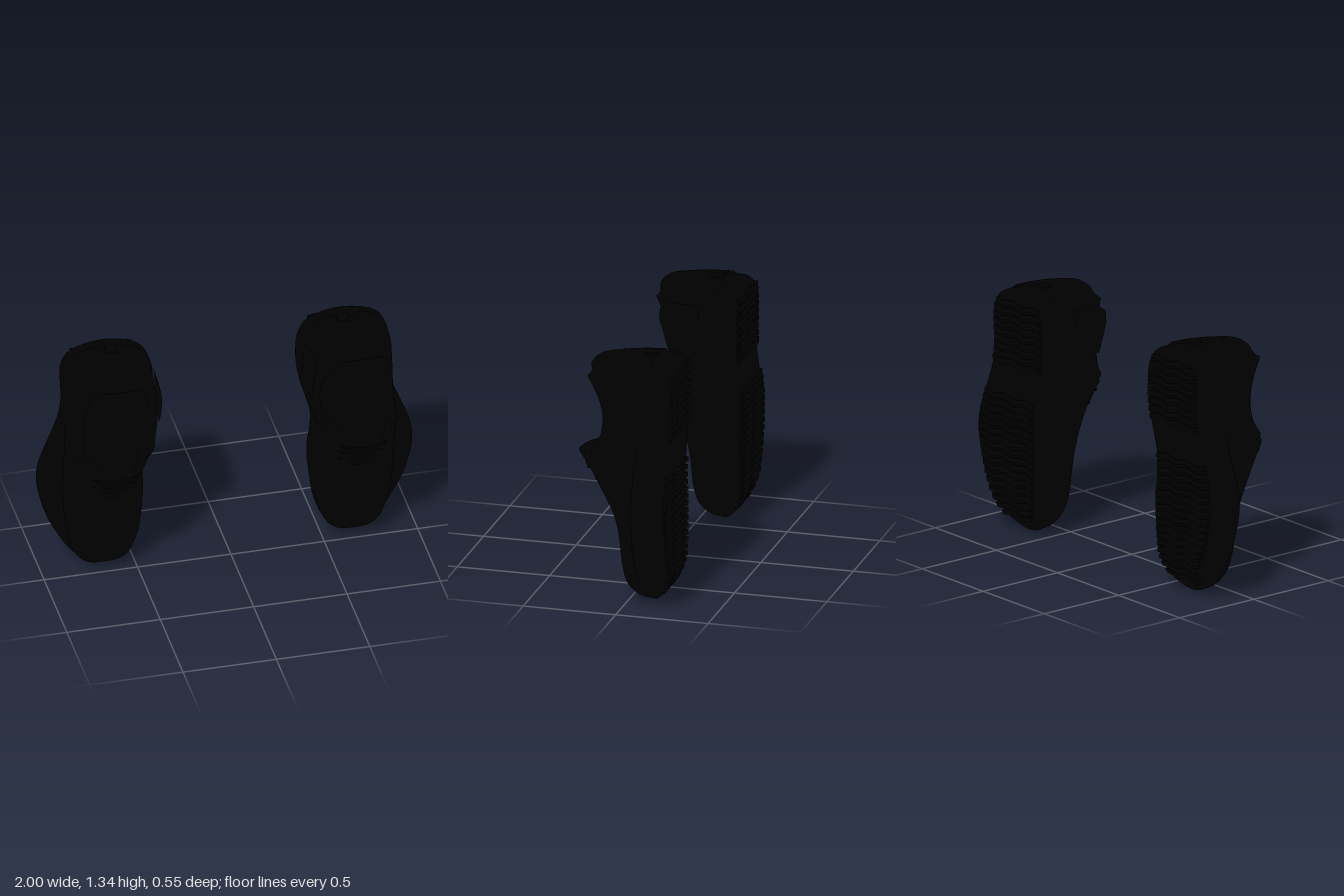
import * as THREE from 'three';

const black = new THREE.MeshStandardMaterial({ color: 0x000000, side: THREE.DoubleSide });
black.name = 'black';
const { lerp, clamp, smoothstep } = THREE.MathUtils;

// Upper stations from toe to heel: y, inner x, outer x, top z, openness of the collar
const STATIONS = [
  [0.02, 0.605, 0.73, -0.09, 0], [0.04, 0.56, 0.775, -0.04, 0], [0.1, 0.515, 0.822, 0.015, 0],
  [0.2, 0.48, 0.856, 0.038, 0], [0.3, 0.466, 0.874, 0.047, 0], [0.4, 0.458, 0.882, 0.06, 0],
  [0.5, 0.458, 0.885, 0.09, 0], [0.6, 0.468, 0.884, 0.145, 0], [0.7, 0.468, 0.88, 0.205, 0],
  [0.77, 0.452, 0.876, 0.25, 0], [0.8, 0.443, 0.874, 0.235, 0], [0.835, 0.432, 0.872, 0.185, 0.9],
  [0.9, 0.415, 0.866, 0.14, 1], [1.0, 0.397, 0.862, 0.12, 1], [1.1, 0.392, 0.868, 0.138, 1],
  [1.2, 0.402, 0.868, 0.19, 1], [1.235, 0.415, 0.86, 0.213, 1], [1.26, 0.432, 0.842, 0.225, 0.04],
  [1.3, 0.47, 0.805, 0.21, 0], [1.322, 0.515, 0.76, 0.19, 0], [1.332, 0.555, 0.715, 0.17, 0],
];
// Half sections: share of half width, share of height
const DOME = [[1, 0], [1, 0.3], [0.965, 0.5], [0.88, 0.68], [0.77, 0.82], [0.62, 0.92], [0.44, 0.97], [0.22, 0.995], [0, 1]];
const COLLAR = [[1, 0], [1, 0.4], [0.97, 0.72], [0.92, 0.93], [0.85, 1], [0.78, 0.95], [0.75, 0.6], [0.71, 0], [0, 0]];
const BASE = -0.13, FLOOR = -0.055;

// Sole outline: y, inner x, outer x
const SOLE = [
  [0.03, 0.575, 0.76], [0.1, 0.512, 0.838], [0.2, 0.477, 0.9], [0.3, 0.463, 0.95], [0.4, 0.452, 0.98], [0.5, 0.45, 0.998],
  [0.6, 0.465, 0.99], [0.7, 0.468, 0.955], [0.8, 0.445, 0.915], [0.9, 0.415, 0.88], [1.0, 0.395, 0.866],
  [1.1, 0.39, 0.87], [1.2, 0.4, 0.87], [1.27, 0.44, 0.835], [1.31, 0.52, 0.755],
];

// Straight interpolation of a station table at height y
function sample(table, y) {
  let i = 0;
  while (i < table.length - 2 && table[i + 1][0] < y) i++;
  const a = table[i], b = table[i + 1];
  const t = clamp((y - a[0]) / (b[0] - a[0]), 0, 1);
  return a.map((v, k) => lerp(v, b[k], t));
}

// Smooth curve through three columns of a station table
function spline(columns) {
  const points = STATIONS.map((s) => new THREE.Vector3(...columns.map((k) => s[k])));
  return new THREE.CatmullRomCurve3(points, false, 'catmullrom', 0.5);
}

// Skin a list of equal-length rows of points
function loft(rows) {
  const n = rows[0].length, index = [];
  for (let r = 0; r < rows.length - 1; r++) {
    for (let c = 0; c < n - 1; c++) {
      const a = r * n + c, b = a + n;
      index.push(a, b, a + 1, a + 1, b, b + 1);
    }
  }
  const g = new THREE.BufferGeometry();
  g.setAttribute('position', new THREE.Float32BufferAttribute(rows.flat(2), 3));
  g.setIndex(index);
  g.computeVertexNormals();
  return g;
}

// Closed toe box that opens into a padded collar and footbed
function upperGeometry() {
  const steps = (STATIONS.length - 1) * 3;
  const heights = spline([0, 3, 4]).getPoints(steps);
  const rows = spline([0, 1, 2]).getPoints(steps).map(({ x: y, y: xl, z: xr }, r) => {
    const top = heights[r].y, open = clamp(heights[r].z, 0, 1);
    const c = (xl + xr) / 2, h = (xr - xl) / 2;
    const half = DOME.map((d, i) => {
      const k = COLLAR[i];
      const collarZ = i < 7 ? lerp(BASE, top, k[1]) : FLOOR;
      return [lerp(d[0], k[0], open) * h, lerp(lerp(BASE, top, d[1]), collarZ, open)];
    });
    // The heel cup draws in and rounds over towards its rim
    const place = (side) => ([x, z]) => {
      const rise = Math.max(0, (z - BASE) / (top - BASE)) ** 1.5;
      const cup = rise * smoothstep(y, 0.97, 1.26);
      return [c + side * x * (1 - 0.26 * cup) + 0.015 * cup, y - 0.02 * rise * smoothstep(y, 1.25, 1.33), z];
    };
    return [...half.map(place(1)), ...half.slice(0, -1).reverse().map(place(-1))];
  });
  // Close the heel with a slightly domed cap
  const last = rows[rows.length - 1];
  rows.push(last.map((p) => [0.635, p[1] + 0.004, lerp(p[2], -0.02, 0.5)]));
  return loft(rows);
}

// Raise the underside towards the toe
function toeSpring(g) {
  const p = g.attributes.position;
  for (let i = 0; i < p.count; i++) {
    const t = Math.max(0, (0.22 - p.getY(i)) / 0.22);
    p.setZ(i, lerp(p.getZ(i), -0.12, 0.75 * t * t));
  }
  g.computeVertexNormals();
  return g;
}

// Thick sole with rounded upper and lower edges
function soleGeometry() {
  const outline = [[0.665, 0.004], ...SOLE.map(([y, , xr]) => [xr, y]), [0.635, 1.328],
    ...SOLE.slice().reverse().map(([y, xl]) => [xl, y])];
  const curve = new THREE.CatmullRomCurve3(outline.map(([x, y]) => new THREE.Vector3(x, y, 0)), true);
  const shape = new THREE.Shape(curve.getPoints(110).slice(0, -1).map((p) => new THREE.Vector2(p.x, p.y)));
  const bevel = 0.06;
  const g = new THREE.ExtrudeGeometry(shape, {
    depth: 0.06, bevelThickness: bevel, bevelSize: bevel, bevelOffset: -bevel, bevelSegments: 5,
  });
  g.translate(0, 0, -0.182);
  return toeSpring(g);
}

function createShoe() {
  const shoe = new THREE.Group();
  const add = (geometry, name) => {
    const mesh = new THREE.Mesh(geometry, black);
    mesh.name = name;
    shoe.add(mesh);
    return mesh;
  };
  add(upperGeometry(), 'upper');
  add(soleGeometry(), 'sole');

  // Wavy tread bars across the underside, left out under the arch
  for (let y = 0.09; y < 1.28; y += 0.04) {
    if (y > 0.76 && y < 0.92) continue;
    const [, xl, xr] = sample(SOLE, y);
    const g = new THREE.BoxGeometry((xr - xl) * 0.8, 0.026, 0.03, 12, 1, 1);
    const p = g.attributes.position;
    for (let i = 0; i < p.count; i++) p.setY(i, p.getY(i) + 0.008 * Math.sin(p.getX(i) * 38));
    g.translate((xl + xr) / 2, y, -0.239);
    add(toeSpring(g), 'treadBar');
  }

  // Loose outer panel standing off the inner side of the collar
  const panel = [[0.98, 0.12], [1.06, 0.14], [1.14, 0.165], [1.2, 0.165], [1.235, 0.12]];
  add(loft(panel.map(([y, top]) => [0, 0.5, 1].map((t) =>
    [sample(STATIONS, y)[1] + 0.012 * t * t, y, lerp(-0.05, top, t)]))), 'collarPanel');

  // Tongue rising from the vamp, rounded across its width
  const tongue = [[0.52, 0.09, 0.1], [0.6, 0.148, 0.12], [0.68, 0.203, 0.125], [0.74, 0.252, 0.115],
    [0.785, 0.292, 0.085], [0.805, 0.27, 0.1], [0.822, 0.21, 0.125], [0.83, 0.1, 0.14], [0.835, -0.055, 0.15]];
  add(loft(tongue.map(([y, z, w]) => Array.from({ length: 9 }, (_, i) => {
    const s = 1 - i / 4;
    return [0.662 + s * w, y, z - 0.04 * s * s];
  }))), 'tongue');

  // Laces bowed over the tongue, with eyelets at both ends
  for (const [y, z] of [[0.55, 0.112], [0.61, 0.155], [0.67, 0.196], [0.73, 0.242]]) {
    const path = new THREE.QuadraticBezierCurve3(
      new THREE.Vector3(0.56, y, z - 0.04), new THREE.Vector3(0.665, y - 0.008, z + 0.04), new THREE.Vector3(0.77, y, z - 0.04));
    add(new THREE.TubeGeometry(path, 12, 0.01, 8), 'lace');
    for (const x of [0.56, 0.77]) {
      const eyelet = add(new THREE.TorusGeometry(0.014, 0.005, 6, 12), 'eyelet');
      eyelet.position.set(x, y, z - 0.035);
      eyelet.rotation.x = -0.6;
    }
  }

  // Pull tab at the back of the heel
  const tab = add(new THREE.BoxGeometry(0.06, 0.014, 0.07), 'heelTab');
  tab.position.set(0.62, 1.333, -0.09);
  return shoe;
}

export function createModel() {
  const model = new THREE.Group();
  model.name = 'pairOfShoes';
  const left = createShoe();
  left.name = 'leftShoe';
  const right = createShoe();
  right.name = 'rightShoe';
  right.scale.x = -1;
  model.add(left, right);
  return model;
}
